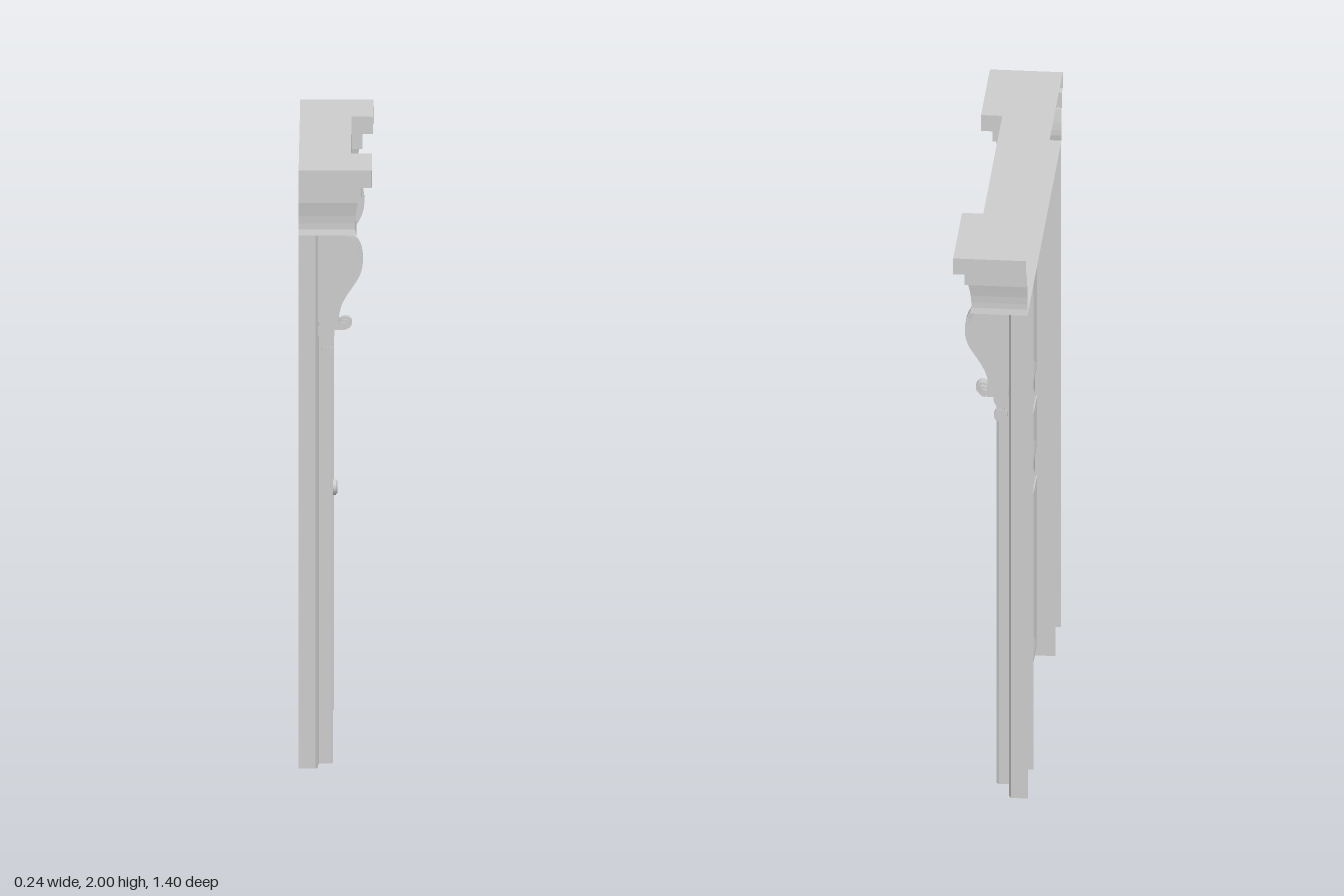
import * as THREE from 'three';

const mat = new THREE.MeshStandardMaterial({ color: 0xcccccc, side: THREE.DoubleSide });

function add(parent, name, geometry) {
  const m = new THREE.Mesh(geometry, mat);
  m.name = name;
  parent.add(m);
  return m;
}

// Flat-faced skin between rings of equal point count; rings may be open or closed
function loft(rings, closed = false) {
  const n = rings[0].length, pos = [], idx = [];
  rings.forEach(r => r.forEach(p => pos.push(...p)));
  for (let i = 0; i < rings.length - 1; i++) {
    for (let j = 0; j < (closed ? n : n - 1); j++) {
      const a = i * n + j, b = i * n + (j + 1) % n;
      idx.push(a, b, b + n, a, b + n, a + n);
    }
  }
  let g = new THREE.BufferGeometry();
  g.setAttribute('position', new THREE.Float32BufferAttribute(pos, 3));
  g.setIndex(idx);
  g = g.toNonIndexed();
  g.computeVertexNormals();
  return g;
}

// Horizontal plate from plan points [x, z]
function plate(points, y) {
  const shape = new THREE.Shape(points.map(([x, z]) => new THREE.Vector2(x, -z)));
  return new THREE.ShapeGeometry(shape).rotateX(-Math.PI / 2).translate(0, y, 0);
}

const BACK = -0.12, TOP = 1.775, DOOR = -0.052;

// Cornice outline in plan, inset by d
function outline(d) {
  const half = [[BACK, 0.7 - d], [0.12 - d, 0.7 - d], [0.12 - d, 0.362 + d], [0.05 - d, 0.362 + d]];
  return [...half, ...half.slice().reverse().map(([x, z]) => [x, -z])];
}

function makeCornice() {
  const g = new THREE.Group();
  g.name = 'cornice';
  const profile = [[0, 2], [0, 1.942], [0.035, 1.942], [0.035, 1.887], [0.045, 1.887],
    [0.049, 1.865], [0.053, 1.84], [0.055, 1.815], [0.055, 1.795], [0.051, TOP]];
  add(g, 'corniceMoulding', loft(profile.map(([d, y]) => outline(d).map(([x, z]) => [x, y, z]))));
  add(g, 'corniceTop', plate(outline(0), 2));
  add(g, 'corniceSoffit', plate(outline(0.051), TOP));
  return g;
}

// Pilaster, stepped casing and jamb as one plan section
function makeCasing(side) {
  const section = [[BACK, 0.635], [-0.064, 0.635], [-0.056, 0.617], [-0.056, 0.535],
    [-0.016, 0.535], [-0.008, 0.529], [-0.008, 0.518], [-0.018, 0.511], [-0.018, 0.498],
    [-0.024, 0.494], [-0.024, 0.458], [-0.014, 0.452], [-0.014, 0.428], [-0.018, 0.42], [BACK, 0.42]];
  const ring = y => section.map(([x, z]) => [x, y, z * side]);
  return loft(side > 0 ? [ring(TOP), ring(0)] : [ring(0), ring(TOP)]);
}

// Side outline of the scroll bracket; k pulls the front curve back
function bracketShape(k) {
  const s = new THREE.Shape();
  s.moveTo(-0.057, 1.77);
  s.lineTo(0.04 * k, 1.77);
  s.bezierCurveTo(0.075 * k, 1.77, 0.092 * k, 1.73, 0.091 * k, 1.68);
  s.bezierCurveTo(0.088 * k, 1.6, 0.02 * k, 1.58, 0.012 * k, 1.495);
  s.lineTo(0.02 * k, 1.455);
  s.lineTo(-0.035, 1.455);
  s.lineTo(-0.05, 1.48);
  s.lineTo(-0.057, 1.48);
  return s;
}

function extrudeZ(shape, width) {
  return new THREE.ExtrudeGeometry(shape, { depth: width, bevelEnabled: false, curveSegments: 14 })
    .translate(0, 0, -width / 2);
}

function rollZ(r, width, x, y) {
  return new THREE.CylinderGeometry(r, r, width, 18).rotateX(Math.PI / 2).translate(x, y, 0);
}

function makeBracket() {
  const g = new THREE.Group();
  g.name = 'bracket';
  // Stepped layers, each narrower one standing further forward
  for (const [width, k, r] of [[0.076, 0.84, 0.013], [0.056, 0.92, 0.017], [0.032, 1, 0.021]]) {
    add(g, 'bracketLayer', extrudeZ(bracketShape(k), width));
    add(g, 'bracketFrontScroll', rollZ(r, width, 0.013 + r, 1.455 + r));
  }
  add(g, 'bracketRearScroll', rollZ(0.016, 0.074, -0.038, 1.471));

  // Small pendant below the bracket
  const s = new THREE.Shape();
  s.moveTo(-0.057, 1.46);
  s.lineTo(-0.004, 1.46);
  s.quadraticCurveTo(0.002, 1.43, -0.012, 1.41);
  s.quadraticCurveTo(-0.02, 1.395, -0.014, 1.375);
  s.lineTo(-0.045, 1.375);
  s.quadraticCurveTo(-0.03, 1.41, -0.057, 1.43);
  add(g, 'pendantStem', extrudeZ(s, 0.02));
  add(g, 'pendantRoll', rollZ(0.022, 0.024, -0.026, 1.375));
  return g;
}

function makeDoor() {
  const g = new THREE.Group();
  g.name = 'door';
  const W = 0.348;
  const panels = [[1.09, 1.715], [0.8, 1.02], [0.075, 0.727]];

  // Stiles and rails; shape x runs along -z
  const frame = new THREE.Shape([[-0.42, 0], [0.42, 0], [0.42, TOP], [-0.42, TOP]]
    .map(p => new THREE.Vector2(...p)));
  for (const [a, b] of panels) {
    frame.holes.push(new THREE.Path([[-W, a], [-W, b], [W, b], [W, a]]
      .map(p => new THREE.Vector2(...p))));
  }
  add(g, 'doorFrame', new THREE.ShapeGeometry(frame).rotateY(Math.PI / 2).translate(DOOR, 0, 0));

  // Each panel: shallow sloped edge, small step, then a raised field
  const steps = [[0, 0], [0.022, -0.011], [0.022, -0.016], [0.03, -0.016], [0.056, -0.007]];
  for (const [a, b] of panels) {
    const rings = steps.map(([d, x]) => [[a + d, W - d], [a + d, d - W], [b - d, d - W], [b - d, W - d]]
      .map(([y, z]) => [DOOR + x, y, z]));
    add(g, 'panelMoulding', loft(rings, true));
    const field = new THREE.PlaneGeometry(2 * (W - 0.056), b - a - 0.112).rotateY(Math.PI / 2);
    add(g, 'panelField', field.translate(DOOR - 0.007, (a + b) / 2, 0));
  }

  // Lock plate and knob
  add(g, 'lockPlate', new THREE.BoxGeometry(0.012, 0.155, 0.064).translate(DOOR + 0.003, 0.757, -0.388));
  const knob = [[0.016, 0], [0.016, 0.005], [0.011, 0.01], [0.011, 0.02], [0.02, 0.024],
    [0.026, 0.03], [0.026, 0.044], [0.019, 0.05], [0, 0.05]].map(p => new THREE.Vector2(...p));
  add(g, 'knob', new THREE.LatheGeometry(knob, 20).rotateZ(-Math.PI / 2).translate(DOOR + 0.005, 0.763, -0.388));
  return g;
}

export function createModel() {
  const model = new THREE.Group();
  model.name = 'panelledDoorway';
  model.add(makeCornice(), makeDoor());
  for (const side of [1, -1]) {
    add(model, side > 0 ? 'leftCasing' : 'rightCasing', makeCasing(side));
    const bracket = makeBracket();
    bracket.position.z = 0.577 * side;
    model.add(bracket);
  }
  return model;
}
